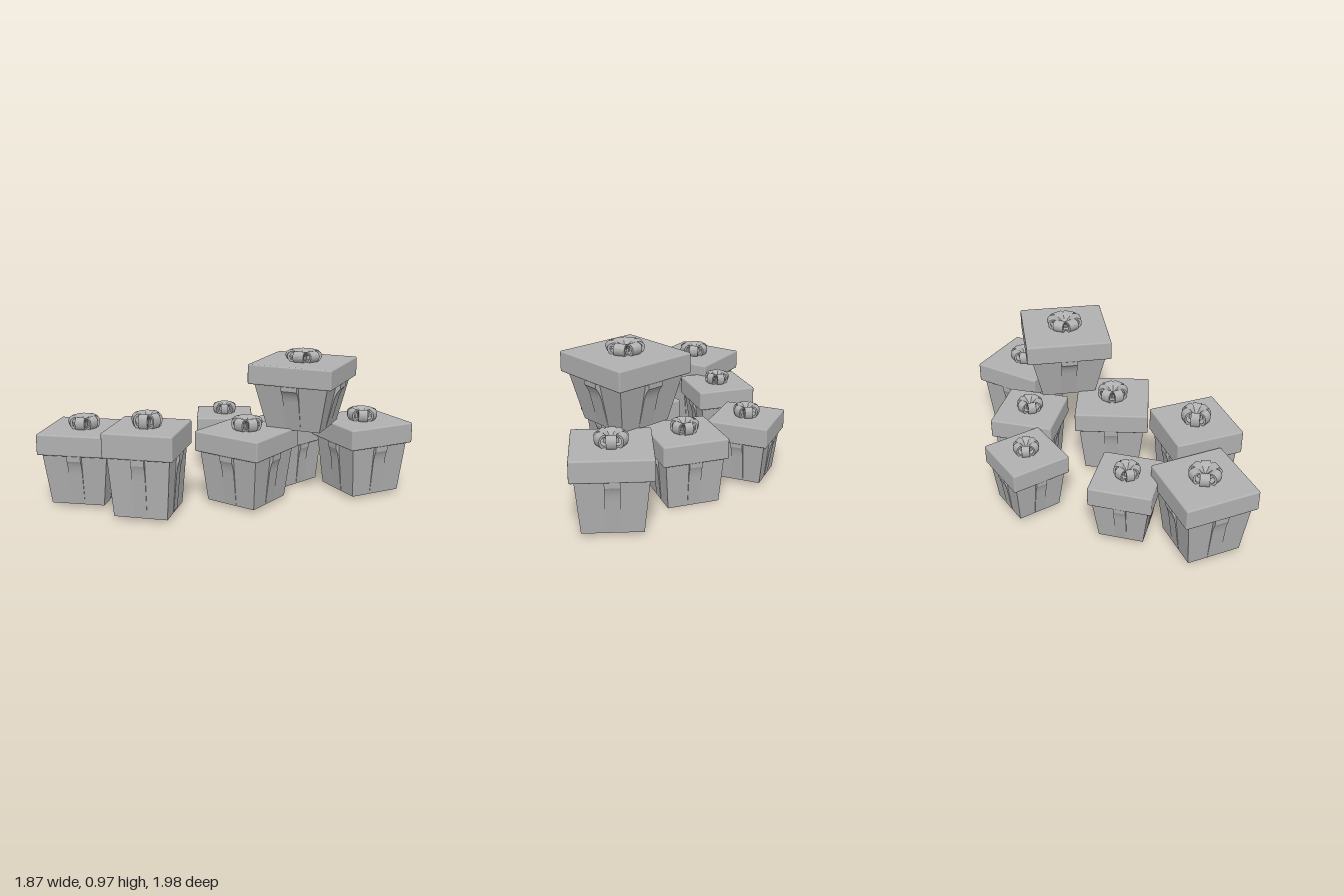
import * as THREE from 'three';
import { RoundedBoxGeometry } from 'three/addons/geometries/RoundedBoxGeometry.js';

const paper = new THREE.MeshStandardMaterial({ color: 0xb0b0b0 });
paper.name = 'plain grey';

// x, z, turn (radians), lid width, underside y, lid bottom y, lid top y, bow top y, foot width
const BOXES = [
  ['backLeftBox', -0.62, -0.68, 0.449, 0.477, 0.02, 0.35, 0.485, 0.56, 0.345],
  ['tallLeftBox', -0.58, -0.18, 0.405, 0.445, 0.02, 0.40, 0.558, 0.645, 0.34],
  ['backSmallBox', -0.16, -0.575, -0.216, 0.395, 0.025, 0.285, 0.412, 0.482, 0.28],
  ['rightBackSmallBox', 0.48, -0.365, 0.632, 0.39, 0.025, 0.285, 0.412, 0.482, 0.285],
  ['rightSmallBox', 0.515, 0.12, -0.195, 0.415, 0.0, 0.285, 0.415, 0.487, 0.325],
  ['centreBox', -0.04, 0.19, 0, 0.48, 0.02, 0.35, 0.483, 0.56, 0.355],
  ['stackedTopBox', 0.295, 0.40, 0.203, 0.553, 0.475, 0.772, 0.90, 0.967, 0.355],
  ['frontRightBox', 0.615, 0.67, -0.473, 0.476, 0.02, 0.35, 0.485, 0.56, 0.357],
];

function addMesh(parent, name, geometry) {
  const mesh = new THREE.Mesh(geometry, paper);
  mesh.name = name;
  parent.add(mesh);
  return mesh;
}

// Square tapered tub with flat sides and closed ends
function tubGeometry(foot, top, y0, y1) {
  const k = Math.SQRT1_2;
  const points = [[0, y0], [foot * k, y0], [top * k, y1], [0, y1]].map(p => new THREE.Vector2(...p));
  const geometry = new THREE.LatheGeometry(points, 4, Math.PI / 4).toNonIndexed();
  geometry.computeVertexNormals();
  return geometry;
}

// Ribbon hanging from the lid: a tab at the top that sweeps into the wall
function ribbonGeometry(foot, top, lid, y0, y1) {
  const wall = y => (foot + (top - foot) * (y - y0) / (y1 - y0)) / 2;
  const h = y1 - y0;
  const shape = new THREE.Shape();
  shape.moveTo(wall(y0) - 0.02, y0 + 0.01);
  shape.lineTo(wall(y0) + 0.003, y0 + 0.01);
  shape.lineTo(wall(y1 - h * 0.4) + 0.006, y1 - h * 0.4);
  shape.quadraticCurveTo(wall(y1 - h * 0.2) + 0.006, y1 - h * 0.2, lid / 2 - 0.008, y1 - h * 0.1);
  shape.lineTo(lid / 2 - 0.006, y1 + 0.02);
  shape.lineTo(wall(y1) - 0.02, y1 + 0.02);
  const width = lid * 0.19;
  const geometry = new THREE.ExtrudeGeometry(shape, { depth: width, bevelEnabled: false, curveSegments: 8 });
  return geometry.translate(0, 0, -width / 2);
}

// One hollow ribbon loop, reaching out from the centre of the bow
function loopGeometry(r, h) {
  const scaled = list => list.map(([x, y]) => new THREE.Vector2(x * r, y * h));
  const shape = new THREE.Shape();
  shape.moveTo(0, -0.06 * h);
  shape.lineTo(0.8 * r, -0.06 * h);
  shape.splineThru(scaled([[0.94, 0.18], [1, 0.5], [0.94, 0.82], [0.7, 1], [0.42, 0.9], [0.2, 0.6], [0, 0.35]]));
  const hole = new THREE.Path();
  hole.moveTo(0.36 * r, 0.16 * h);
  hole.splineThru(scaled([[0.74, 0.16], [0.85, 0.5], [0.79, 0.75], [0.66, 0.84], [0.48, 0.74], [0.36, 0.5]]));
  hole.closePath();
  shape.holes.push(hole);
  const width = 0.62 * r;
  const geometry = new THREE.ExtrudeGeometry(shape, { depth: width, bevelEnabled: false, curveSegments: 2 });
  return geometry.translate(0, 0, -width / 2);
}

function giftBox([name, x, z, turn, lid, y0, y1, y2, y3, foot]) {
  const box = new THREE.Group();
  box.name = name;
  box.position.set(x, 0, z);
  box.rotation.y = turn;
  const top = lid * 0.89;

  addMesh(box, 'tub', tubGeometry(foot, top, y0, y1 + 0.02));
  const cover = addMesh(box, 'lid', new RoundedBoxGeometry(lid, y2 - y1, lid, 2, 0.01));
  cover.position.y = (y1 + y2) / 2;

  const ribbon = ribbonGeometry(foot, top, lid, y0, y1);
  for (let i = 0; i < 4; i++) addMesh(box, 'ribbon', ribbon).rotation.y = i * Math.PI / 2;

  // Six-loop bow
  const bow = new THREE.Group();
  bow.name = 'bow';
  bow.position.y = y2;
  const loop = loopGeometry(lid * 0.203, y3 - y2);
  for (let i = 0; i < 6; i++) addMesh(bow, 'bowLoop', loop).rotation.y = i * Math.PI / 3;
  box.add(bow);
  return box;
}

export function createModel() {
  const model = new THREE.Group();
  model.name = 'giftBoxPile';
  for (const spec of BOXES) model.add(giftBox(spec));
  return model;
}
